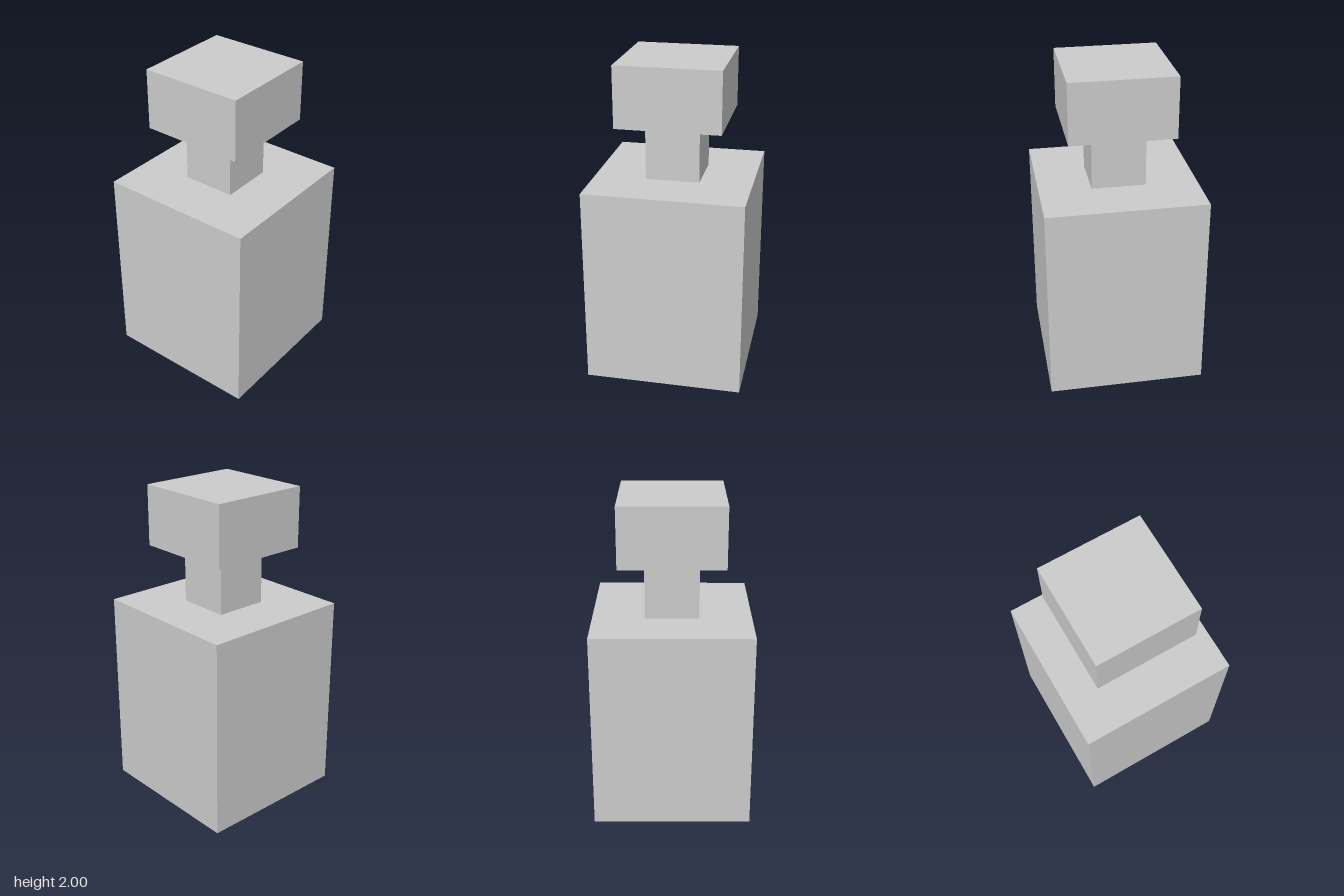
import * as THREE from 'three';

export function createModel() {
  const model = new THREE.Group();
  model.name = 'bottle';
  const material = new THREE.MeshStandardMaterial({ color: 0xcccccc, flatShading: true });

  // Square block standing between two heights
  function addBlock(name, width, bottom, top) {
    const mesh = new THREE.Mesh(new THREE.BoxGeometry(width, top - bottom, width), material);
    mesh.name = name;
    mesh.position.y = (bottom + top) / 2;
    model.add(mesh);
  }

  addBlock('body', 0.983, 0, 1.26);
  addBlock('neck', 0.335, 1.26, 1.62);
  addBlock('stopper', 0.645, 1.62, 2);

  return model;
}
